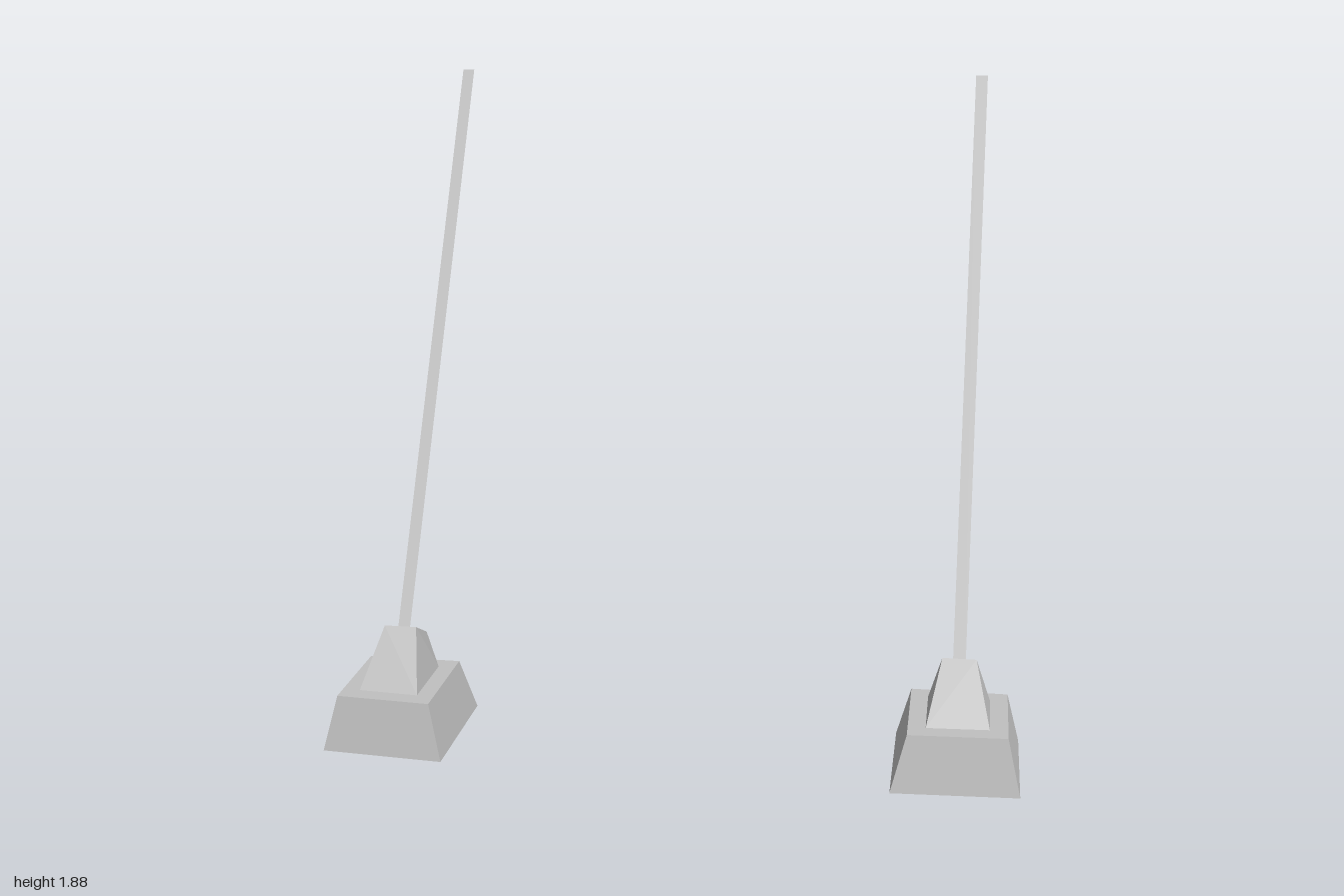
import * as THREE from 'three';
import { ConvexGeometry } from 'three/addons/geometries/ConvexGeometry.js';

export function createModel() {
  const model = new THREE.Group();
  const grey = new THREE.MeshStandardMaterial({ color: 0xc0c0c0 });
  grey.name = 'stone grey';

  // Flat-faced solid from its corners, mirrored by the sign of side
  const solid = (name, side, corners) => {
    const points = corners.map(([x, y, z]) => new THREE.Vector3(side * x, y, z));
    const mesh = new THREE.Mesh(new ConvexGeometry(points), grey);
    mesh.name = name;
    return mesh;
  };

  // Four corners of a tapered level; the front edge may be skewed and the level tilted
  const level = (inner, outer, zBack, zInner, zOuter, yFront, yBack = yFront) => [
    [inner, yBack, zBack], [outer, yBack, zBack],
    [outer, yFront, zOuter], [inner, yFront, zInner],
  ];

  // Triangular section of the pole, apex towards the back
  const section = (y, z) => [
    [0.802, y, z], [0.838, y, z], [0.82, y - 0.024, z - 0.043],
  ];

  for (const side of [1, -1]) {
    const post = new THREE.Group();
    post.name = side > 0 ? 'leftPost' : 'rightPost';
    post.add(
      solid('base', side, [
        ...level(0.642, 1, 0.197, 0.598, 0.575, 0),
        ...level(0.684, 0.962, 0.235, 0.56, 0.543, 0.16),
      ]),
      // Socket with a tilted top square to the pole
      solid('socket', side, [
        ...level(0.734, 0.911, 0.285, 0.505, 0.493, 0.16),
        ...level(0.772, 0.868, 0.27, 0.37, 0.37, 0.317, 0.264),
      ]),
      solid('leaningPole', side, [...section(0.242, 0.37), ...section(1.878, -0.555)]),
    );
    model.add(post);
  }
  return model;
}
